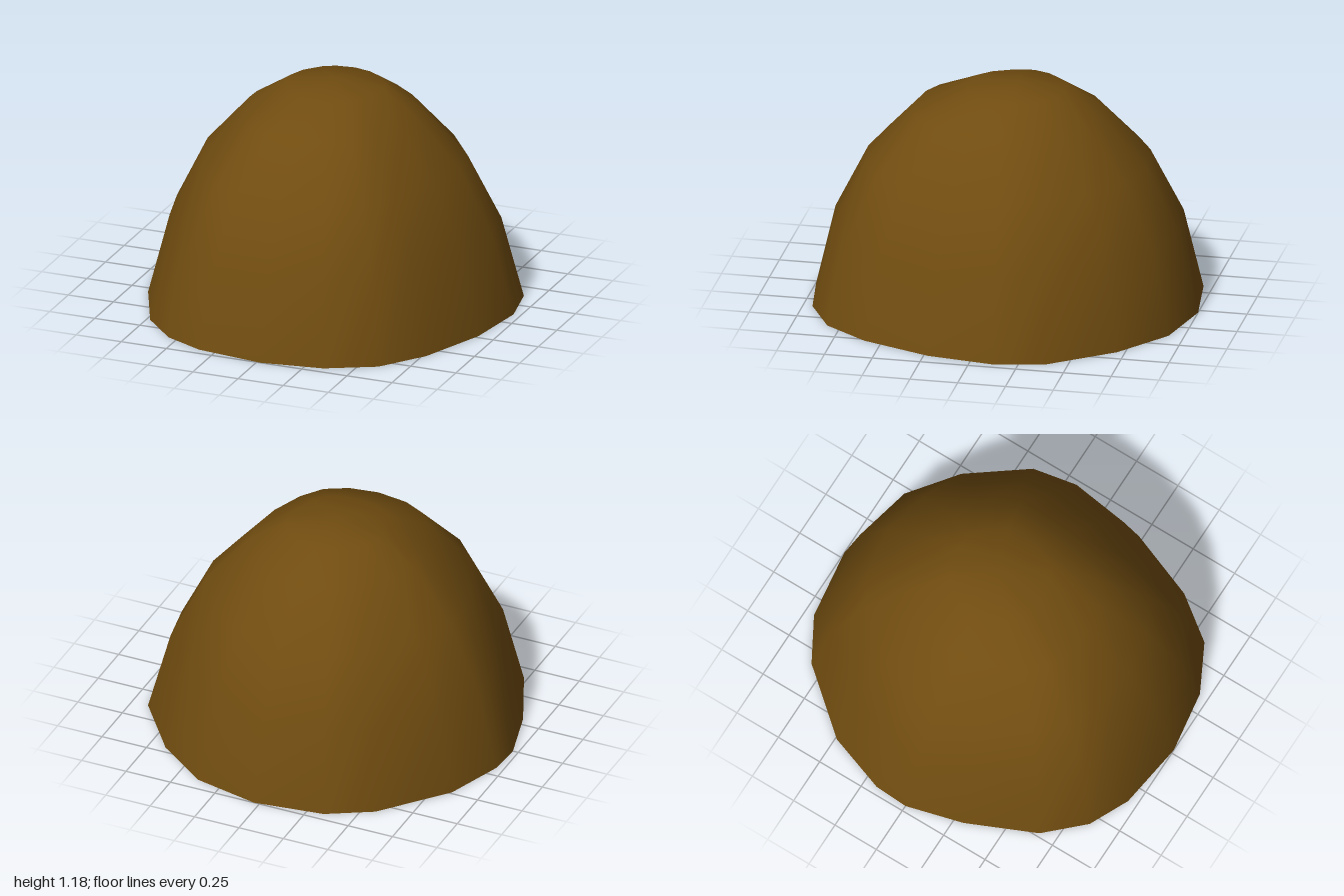
import * as THREE from 'three';

const skinMat = new THREE.MeshStandardMaterial({ color: 0x704c10 });
skinMat.name = 'brown skin';
const fleshMat = new THREE.MeshStandardMaterial({ color: 0xb1bc33 });
fleshMat.name = 'green flesh';

// Uneven outline of the cut, as x, z
const outline = [
  [0.03, -1], [0.38, -0.92], [0.66, -0.71], [0.91, -0.38], [0.96, -0.12], [0.91, 0.23], [0.77, 0.59],
  [0.6, 0.82], [0.35, 0.95], [0.02, 1], [-0.34, 0.95], [-0.55, 0.85], [-0.73, 0.66], [-0.89, 0.3],
  [-0.97, 0], [-0.96, -0.18], [-0.85, -0.49], [-0.57, -0.82], [-0.34, -0.95],
];

// Rings of the dome: height, x scale, z scale, z shift
const rings = [
  [0, 1, 1, 0], [0.43, 0.88, 0.9, 0], [0.77, 0.705, 0.73, 0],
  [1.03, 0.465, 0.485, 0], [1.15, 0.265, 0.255, -0.045],
];

// Seeds on the cut: across, along, radius
const seeds = [
  [-0.41, 0.51, 0.025], [-0.33, 0.41, 0.025], [-0.43, 0.29, 0.038], [-0.07, 0.45, 0.036], [0.07, 0.35, 0.034],
  [0.28, 0.35, 0.032], [0.47, 0.37, 0.036], [0.57, 0.09, 0.036], [0.52, -0.18, 0.037], [0.35, -0.23, 0.036],
  [0.28, -0.5, 0.025], [0.05, -0.4, 0.038], [-0.19, -0.37, 0.018], [-0.14, -0.62, 0.024], [-0.33, -0.6, 0.025],
  [-0.4, -0.41, 0.034], [-0.45, -0.28, 0.028], [-0.67, -0.13, 0.04], [-0.77, -0.13, 0.034], [-0.66, 0.17, 0.036],
];

function domeGeometry() {
  const n = outline.length, pos = [], index = [];
  for (const [y, sx, sz, dz] of rings) {
    for (const [x, z] of outline) pos.push(x * sx, y, z * sz + dz);
  }
  const apex = pos.length / 3;
  pos.push(0, 1.185, -0.05);
  for (let r = 0; r < rings.length; r++) {
    for (let i = 0; i < n; i++) {
      const a = r * n + i, b = r * n + (i + 1) % n;
      if (r === rings.length - 1) index.push(a, apex, b);
      else index.push(a, a + n, b, b, a + n, b + n);
    }
  }
  const geo = new THREE.BufferGeometry();
  geo.setAttribute('position', new THREE.Float32BufferAttribute(pos, 3));
  geo.setIndex(index);
  geo.computeVertexNormals();
  return geo;
}

// Flat shape turned to face down
function downFace(shape) {
  return new THREE.ShapeGeometry(shape, 48).rotateX(Math.PI / 2);
}

export function createModel() {
  const group = new THREE.Group();
  const add = (name, geo, mat, parent = group) => {
    const mesh = new THREE.Mesh(geo, mat);
    mesh.name = name;
    parent.add(mesh);
    return mesh;
  };

  add('skin', domeGeometry(), skinMat);

  // Cut edge of the skin around the flesh
  const rim = new THREE.Shape(outline.map(([x, z]) => new THREE.Vector2(x, z)));
  rim.holes.push(new THREE.Path().absellipse(0, 0, 0.905, 0.945, 0, Math.PI * 2, true));
  add('cutRim', downFace(rim), skinMat);

  const disc = new THREE.Shape().absellipse(0, 0, 0.91, 0.95, 0, Math.PI * 2, false);
  add('flesh', downFace(disc), fleshMat).position.y = 0.004;

  // Thin seeds scattered over the flesh
  const seedGroup = new THREE.Group();
  seedGroup.name = 'seeds';
  seedGroup.rotation.y = -140 * Math.PI / 180;
  group.add(seedGroup);
  const seedGeo = new THREE.CylinderGeometry(1, 1, 0.005, 10);
  seeds.forEach(([x, z, r], i) => {
    const seed = add('seed' + (i + 1), seedGeo, skinMat, seedGroup);
    seed.position.set(x, 0.0025, z);
    seed.scale.set(r, 1, r * 1.05);
  });

  return group;
}
